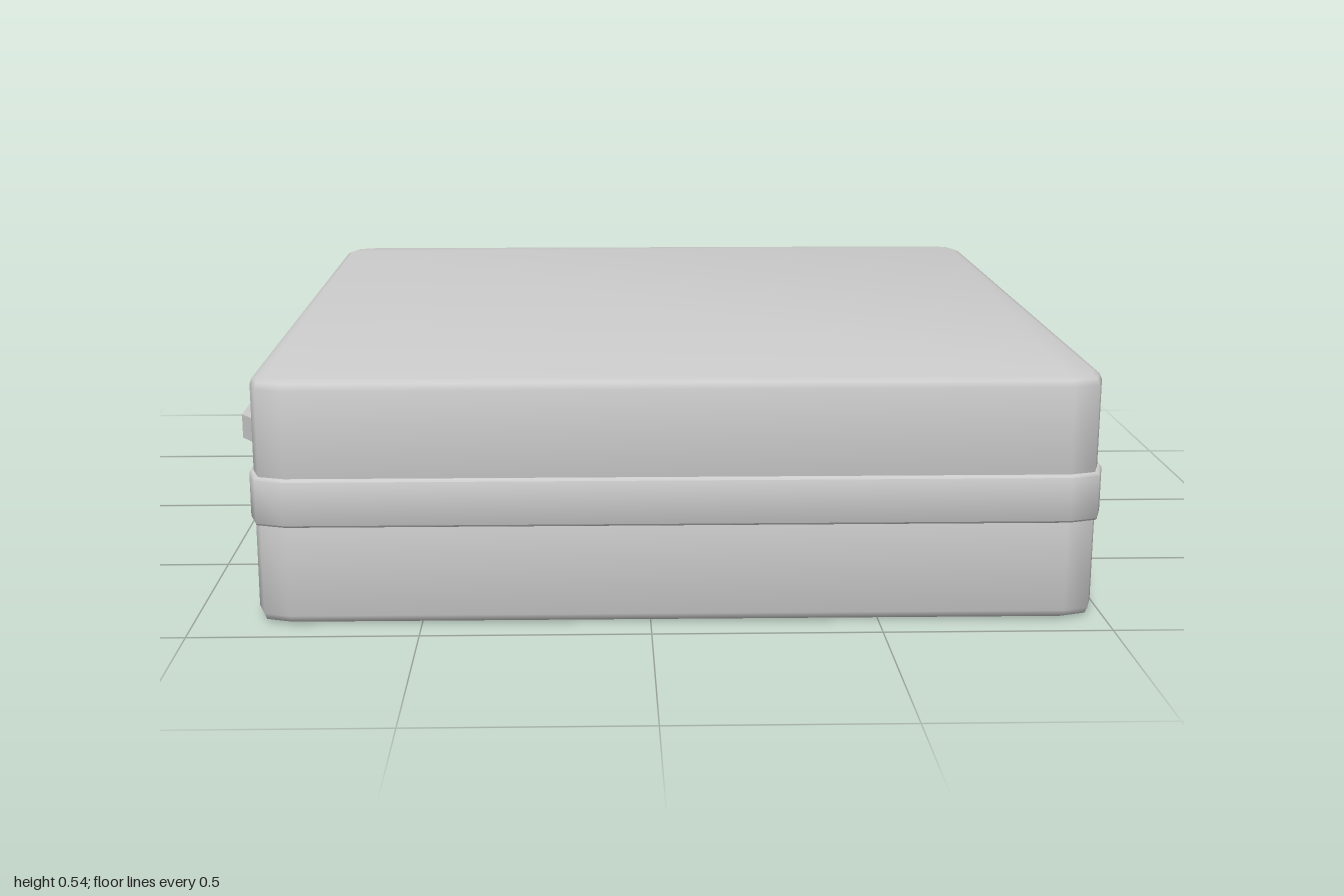
import * as THREE from 'three';
import { toCreasedNormals } from 'three/addons/utils/BufferGeometryUtils.js';

const grey = new THREE.MeshStandardMaterial({ color: 0xcccccc });
const CENTRE_X = 0.06;

// Horizontal slab with rounded corners and softened upper and lower edges
function roundedSlab(name, halfX, halfZ, y0, y1, radius, bevel) {
  const w = halfX - bevel, h = halfZ - bevel, r = radius - bevel;
  const shape = new THREE.Shape();
  shape.moveTo(w, -h + r);
  shape.lineTo(w, h - r);
  shape.quadraticCurveTo(w, h, w - r, h);
  shape.lineTo(-w + r, h);
  shape.quadraticCurveTo(-w, h, -w, h - r);
  shape.lineTo(-w, -h + r);
  shape.quadraticCurveTo(-w, -h, -w + r, -h);
  shape.lineTo(w - r, -h);
  shape.quadraticCurveTo(w, -h, w, -h + r);
  const geometry = new THREE.ExtrudeGeometry(shape, {
    depth: y1 - y0 - 2 * bevel,
    bevelThickness: bevel, bevelSize: bevel, bevelSegments: 2, curveSegments: 2,
  });
  geometry.rotateX(-Math.PI / 2);
  geometry.translate(CENTRE_X, y0 + bevel, 0);
  const mesh = new THREE.Mesh(toCreasedNormals(geometry, Math.PI / 3), grey);
  mesh.name = name;
  return mesh;
}

// Angular carrying handle, mirrored about z = 0
function makeHandle() {
  const outer = [[-0.86, 0.49], [-0.87, 0.475], [-0.9, 0.4], [-0.96, 0.29], [-1, 0.235]];
  const inner = [[-0.935, 0.235], [-0.9, 0.3], [-0.87, 0.34], [-0.86, 0.355]];
  const mirror = (points) => points.map(([x, z]) => [x, -z]).reverse();
  const outline = [...outer, ...mirror(outer), ...mirror(inner), ...inner];
  const shape = new THREE.Shape(outline.map(([x, z]) => new THREE.Vector2(x, -z)));
  const geometry = new THREE.ExtrudeGeometry(shape, { depth: 0.06, bevelEnabled: false });
  geometry.rotateX(-Math.PI / 2);
  geometry.translate(0, 0.245, 0);
  const mesh = new THREE.Mesh(geometry, grey);
  mesh.name = 'handle';
  return mesh;
}

export function createModel() {
  const group = new THREE.Group();
  group.name = 'carryingCase';
  group.add(
    roundedSlab('lowerShell', 0.925, 0.925, 0, 0.278, 0.08, 0.02),
    roundedSlab('upperShell', 0.925, 0.925, 0.26, 0.543, 0.08, 0.02),
    roundedSlab('rimBand', 0.934, 0.936, 0.223, 0.33, 0.085, 0.005),
    makeHandle(),
  );
  return group;
}
